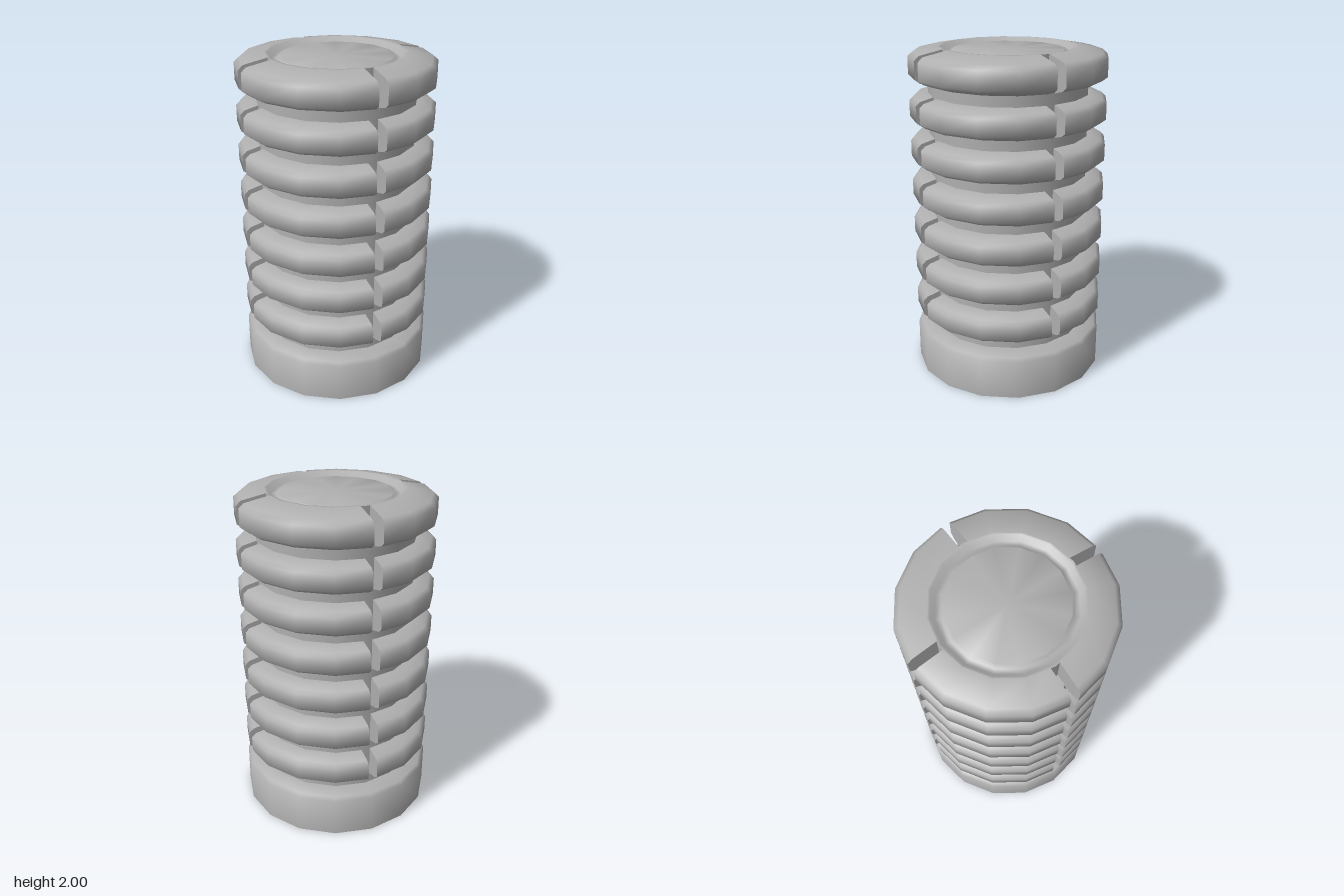
import * as THREE from 'three';
import { toCreasedNormals } from 'three/addons/utils/BufferGeometryUtils.js';

const SIDES = 16;
const SLOT = 0.027; // half width of the vertical slots
const CREASE = 1.2;

// Sixteen-sided turned part from [radius, y] pairs, bottom to top
function turned(profile) {
  const points = profile.map(([r, y]) => new THREE.Vector2(r, y));
  return toCreasedNormals(new THREE.LatheGeometry(points, SIDES), CREASE);
}

// Quarter of a ring between two slots, swept from a closed convex profile
function quarterRing(profile) {
  const steps = SIDES / 4;
  const n = profile.length;
  const inset = SLOT * Math.tan(Math.PI / SIDES);
  const positions = [];
  const index = [];
  for (let i = 0; i <= steps; i++) {
    const a = (i / steps) * Math.PI / 2;
    for (const [r, y] of profile) {
      if (i === 0) positions.push(SLOT, y, r - inset);
      else if (i === steps) positions.push(r - inset, y, SLOT);
      else positions.push(r * Math.sin(a), y, r * Math.cos(a));
    }
  }
  for (let i = 0; i < steps; i++) {
    for (let j = 0; j < n; j++) {
      const k = (j + 1) % n;
      const a = i * n + j, b = (i + 1) * n + j, c = (i + 1) * n + k, d = i * n + k;
      index.push(a, b, c, a, c, d);
    }
  }
  // Flat slot walls at both ends
  const end = steps * n;
  for (let j = 1; j < n - 1; j++) {
    index.push(0, j, j + 1);
    index.push(end, end + j + 1, end + j);
  }
  const geometry = new THREE.BufferGeometry();
  geometry.setAttribute('position', new THREE.Float32BufferAttribute(positions, 3));
  geometry.setIndex(index);
  return toCreasedNormals(geometry, CREASE);
}

export function createModel() {
  const model = new THREE.Group();
  model.name = 'ribbedCylinder';
  const grey = new THREE.MeshStandardMaterial({ color: 0xb0b0b0 });
  grey.name = 'plain grey';

  function add(parent, name, geometry) {
    const mesh = new THREE.Mesh(geometry, grey);
    mesh.name = name;
    parent.add(mesh);
    return mesh;
  }

  function addRing(name, geometry, y) {
    const ring = new THREE.Group();
    ring.name = name;
    ring.position.y = y;
    for (let q = 0; q < 4; q++) {
      add(ring, 'ringQuarter', geometry).rotation.y = q * Math.PI / 2;
    }
    model.add(ring);
  }

  // Solid foot with a bevelled shoulder
  add(model, 'base', turned([
    [0, 0], [0.585, 0], [0.585, 0.24], [0.565, 0.258], [0.48, 0.275], [0.4, 0.275],
  ]));

  // Inner column seen between the ribs and through the slots
  add(model, 'core', turned([[0.475, 0.26], [0.475, 1.82], [0.4, 1.82]]));

  // Six equal slotted ribs
  const rib = quarterRing([
    [0.45, 0], [0.48, 0], [0.555, 0.022], [0.585, 0.045],
    [0.585, 0.14], [0.56, 0.163], [0.48, 0.182], [0.45, 0.182],
  ]);
  for (let i = 0; i < 6; i++) addRing('rib', rib, 0.338 + i * 0.243);

  // Slotted top ring
  addRing('topRing', quarterRing([
    [0.405, 0], [0.48, 0], [0.555, 0.022], [0.585, 0.045],
    [0.585, 0.148], [0.555, 0.175], [0.41, 0.202], [0.405, 0.202],
  ]), 1.798);

  // Centre of the top: rim, shallow groove and raised disc
  add(model, 'topCap', turned([
    [0.41, 1.8], [0.41, 2], [0.395, 2], [0.372, 1.965],
    [0.345, 1.965], [0.335, 1.98], [0.325, 1.983], [0, 1.983],
  ]));

  return model;
}
